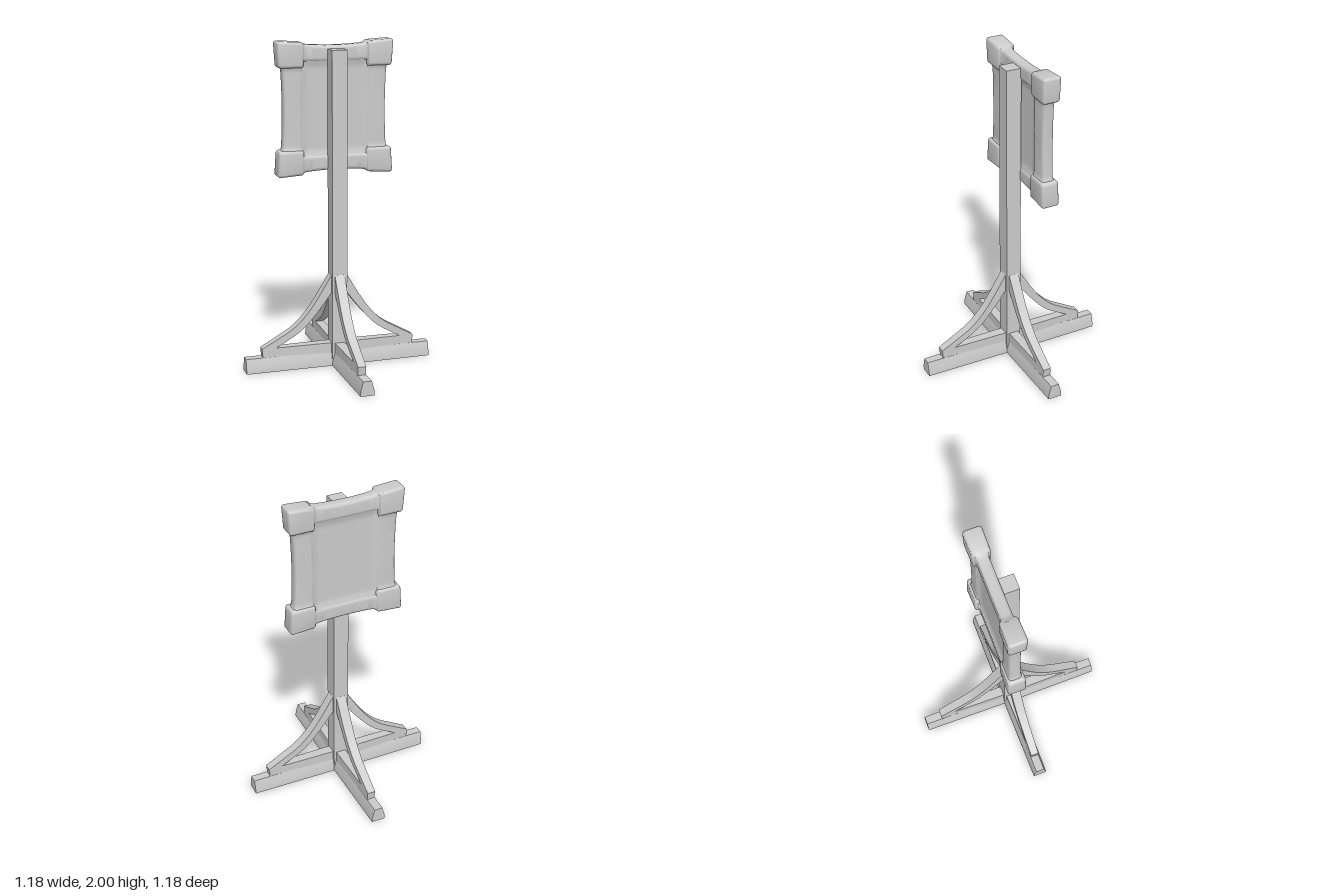
import * as THREE from 'three';
import { mergeVertices, toCreasedNormals } from 'three/addons/utils/BufferGeometryUtils.js';
import { RoundedBoxGeometry } from 'three/addons/geometries/RoundedBoxGeometry.js';

const grey = new THREE.MeshStandardMaterial({ color: 0xcccccc });
const lerp = THREE.MathUtils.lerp;
const smoothstep = THREE.MathUtils.smoothstep;

function addMesh(parent, name, geometry) {
  const mesh = new THREE.Mesh(geometry, grey);
  mesh.name = name;
  parent.add(mesh);
  return mesh;
}

// Moves every vertex by a rule, then rebuilds normals with sharp edges kept
function reshape(geometry, rule, crease = 0.7) {
  const p = geometry.attributes.position;
  const v = new THREE.Vector3();
  for (let i = 0; i < p.count; i++) {
    v.fromBufferAttribute(p, i);
    rule(v);
    p.setXYZ(i, v.x, v.y, v.z);
  }
  geometry.deleteAttribute('uv');
  geometry.deleteAttribute('normal');
  return toCreasedNormals(mergeVertices(geometry, 1e-5), crease);
}

const toPoints = (list) => list.map(([x, y]) => new THREE.Vector2(x, y));
const curvePoints = (list) => new THREE.SplineCurve(toPoints(list)).getPoints(12);

// Foot beam running from the centre along +x, with bevelled upper sides
function footGeometry() {
  const section = new THREE.Shape(toPoints([
    [-0.043, 0], [0.043, 0], [0.042, 0.03], [0.026, 0.09], [-0.026, 0.09], [-0.042, 0.03],
  ]));
  const g = new THREE.ExtrudeGeometry(section, { depth: 0.59, bevelEnabled: false });
  g.rotateY(Math.PI / 2);
  return reshape(g, (v) => { v.z *= lerp(1.1, 1, v.x / 0.59); }, 0.3);
}

// Raised rib and curved brace, with the opening between them
function braceGeometry() {
  const outer = curvePoints([[0.485, 0.147], [0.385, 0.202], [0.275, 0.27], [0.17, 0.385], [0.048, 0.58]]);
  const inner = curvePoints([[0.4, 0.145], [0.25, 0.232], [0.145, 0.34], [0.045, 0.47]]);
  const shape = new THREE.Shape([
    ...toPoints([[0, 0.08], [0.482, 0.08], [0.488, 0.142]]), ...outer, ...toPoints([[0, 0.585]]),
  ]);
  shape.holes.push(new THREE.Path([...toPoints([[0.03, 0.145]]), ...inner, ...toPoints([[0.03, 0.48]])]));
  const g = new THREE.ExtrudeGeometry(shape, { depth: 2, bevelEnabled: false });
  g.translate(0, 0, -1);
  return reshape(g, (v) => { v.z *= lerp(0.032, 0.025, v.x / 0.49); }, 0.5);
}

function roundedRect(x0, x1, h, r) {
  const s = new THREE.Shape();
  s.absarc(x1 - r, h - r, r, 0, Math.PI / 2);
  s.absarc(x0 + r, h - r, r, Math.PI / 2, Math.PI);
  s.absarc(x0 + r, -h + r, r, Math.PI, Math.PI * 1.5);
  s.absarc(x1 - r, -h + r, r, Math.PI * 1.5, Math.PI * 2);
  return s;
}

// Frame rail on the +x side: bowed inward along its outer edge, flared at both ends
function railGeometry(inner, outer, halfLength, bow) {
  const g = new THREE.ExtrudeGeometry(roundedRect(inner, outer, 0.036, 0.02), {
    depth: halfLength * 2, steps: 32, bevelEnabled: false, curveSegments: 6,
  });
  g.translate(0, 0, -halfLength);
  g.rotateX(-Math.PI / 2);
  return reshape(g, (v) => {
    const t = Math.abs(v.y) / halfLength;
    const flare = smoothstep(t, 0.84, 1);
    v.x += (v.x - inner) / (outer - inner) * (bow * t * t + 0.012 * flare);
    v.z *= 1 + 0.4 * flare;
  }, 1);
}

// Corner block, a little larger towards its outer corner
function cornerGeometry() {
  const g = new RoundedBoxGeometry(0.16, 0.155, 0.112, 4, 0.018);
  return reshape(g, (v) => {
    const a = v.x / 0.16 + 0.5;
    const b = v.y / 0.155 + 0.5;
    v.x += 0.01 * a * (b - 0.5);
    v.y += 0.01 * b * (a - 0.5);
    v.z *= lerp(0.94, 1.03, (a + b) / 2);
  }, 1);
}

// Recessed panel whose faces rise in a soft cove to meet the rails
function panelGeometry() {
  const g = new THREE.BoxGeometry(0.48, 0.64, 0.04, 32, 32, 1);
  return reshape(g, (v) => {
    const edge = Math.max(smoothstep(Math.abs(v.x), 0.17, 0.215), smoothstep(Math.abs(v.y), 0.25, 0.295));
    v.z *= 1 + 0.6 * edge;
  }, 1);
}

export function createModel() {
  const model = new THREE.Group();
  model.name = 'targetStand';

  // Square upright post
  addMesh(model, 'post', new THREE.BoxGeometry(0.095, 1.95, 0.095)).position.y = 0.975;

  // Four feet with their braces
  const foot = footGeometry();
  const brace = braceGeometry();
  for (let i = 0; i < 4; i++) {
    const leg = new THREE.Group();
    leg.name = 'leg' + (i + 1);
    addMesh(leg, 'foot', foot);
    addMesh(leg, 'brace', brace);
    leg.rotation.y = i * Math.PI / 2;
    model.add(leg);
  }

  // Square target board behind the post
  const board = new THREE.Group();
  board.name = 'board';
  board.position.set(0, 1.595, -0.079);
  model.add(board);
  addMesh(board, 'panel', panelGeometry());

  const sideRail = railGeometry(0.2, 0.318, 0.275, 0.01);
  const crossRail = railGeometry(0.28, 0.376, 0.215, 0.012);
  ['leftRail', 'topRail', 'rightRail', 'bottomRail'].forEach((name, i) => {
    addMesh(board, name, i % 2 ? crossRail : sideRail).rotation.z = i * Math.PI / 2;
  });

  // Each diagonal pair of blocks shares one shape, mirrored by half turns
  const corner = cornerGeometry();
  for (const sx of [1, -1]) {
    for (const sy of [1, -1]) {
      const block = addMesh(board, (sy > 0 ? 'top' : 'bottom') + (sx > 0 ? 'Left' : 'Right') + 'Corner', corner);
      block.position.set(sx * 0.277, sy * 0.325, 0);
      block.rotation.set(sy < 0 ? Math.PI : 0, sx < 0 ? Math.PI : 0, 0);
    }
  }
  return model;
}
